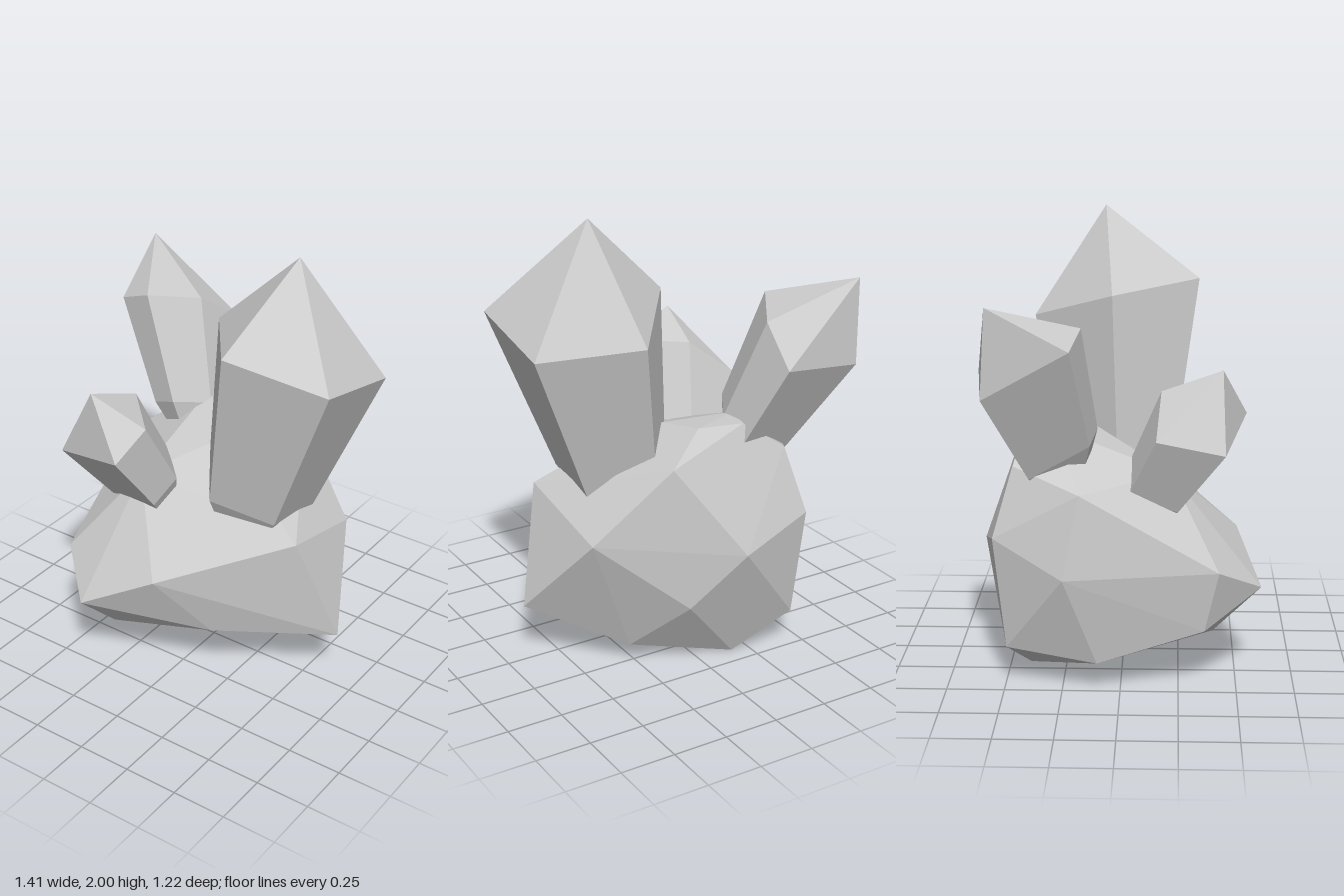
import * as THREE from 'three';
import { ConvexGeometry } from 'three/addons/geometries/ConvexGeometry.js';

const material = new THREE.MeshStandardMaterial({ color: 0xcccccc, flatShading: true });
const vec = (p) => new THREE.Vector3(...p);

// Faceted solid wrapped around its corner points
function facetedMesh(name, points) {
  const mesh = new THREE.Mesh(new ConvexGeometry(points), material);
  mesh.name = name;
  return mesh;
}

// Five-sided crystal: tip, shoulder ring, narrower base ring, and a root point buried in the rock
function crystal(name, { tip, shoulder, base, taper, root }) {
  const ring = shoulder.map(vec);
  const centre = new THREE.Vector3();
  ring.forEach((p) => centre.addScaledVector(p, 1 / ring.length));
  const foot = ring.map((p) => p.clone().sub(centre).multiplyScalar(taper).add(vec(base)));
  return facetedMesh(name, [vec(tip), ...ring, ...foot, vec(root)]);
}

export function createModel() {
  const group = new THREE.Group();
  group.name = 'crystalCluster';

  // Base rock
  group.add(facetedMesh('rock', [
    // underside
    [-0.17, 0, -0.41], [-0.28, 0.04, -0.1], [0.28, 0.09, -0.27],
    // lower sides
    [-0.51, 0.13, -0.1], [-0.43, 0.17, -0.495], [0.11, 0.325, -0.5],
    [-0.28, 0.2, 0.4], [-0.48, 0.27, 0.36], [0.2, 0.29, 0.31], [0.67, 0.27, -0.01],
    // widest belt
    [-0.3, 0.41, 0.61], [-0.51, 0.54, 0.42], [0.03, 0.59, 0.51], [-0.6, 0.53, -0.24],
    [-0.46, 0.67, -0.545], [-0.11, 0.57, -0.61], [0.5, 0.65, -0.34],
    // upper corners
    [0.53, 0.78, 0.14], [0.44, 0.83, 0.11], [-0.56, 0.89, -0.17], [-0.25, 0.91, 0.21],
    [-0.39, 0.97, -0.46], [0.18, 0.98, -0.47],
    // crest
    [0.02, 1.05, -0.12], [-0.03, 1.08, -0.33], [-0.2, 1.1, -0.42], [-0.24, 1.1, -0.28],
  ].map(vec)));

  // Crystals growing out of the rock
  group.add(crystal('largeCrystal', {
    tip: [0.365, 2, -0.09],
    shoulder: [[-0.01, 1.64, -0.05], [0.27, 1.68, 0.335], [0.705, 1.58, 0.21], [0.705, 1.48, -0.25], [0.27, 1.51, -0.41]],
    base: [0.21, 0.84, -0.015],
    taper: 0.65,
    root: [0.13, 0.4, -0.02],
  }));
  group.add(crystal('frontCrystal', {
    tip: [-0.34, 1.38, 0.43],
    shoulder: [[-0.51, 1.05, 0.44], [-0.13, 1.15, 0.54], [-0.08, 1.27, 0.39], [-0.3, 1.28, 0.17], [-0.52, 1.11, 0.15]],
    base: [-0.235, 0.87, 0.165],
    taper: 0.78,
    root: [-0.21, 0.5, 0.03],
  }));
  group.add(crystal('backCrystal', {
    tip: [-0.71, 1.7, -0.53],
    shoulder: [[-0.3, 1.37, -0.605], [-0.34, 1.52, -0.38], [-0.48, 1.58, -0.16], [-0.65, 1.51, -0.2], [-0.69, 1.32, -0.555]],
    base: [-0.31, 1.03, -0.26],
    taper: 0.72,
    root: [-0.25, 0.75, -0.2],
  }));

  return group;
}
